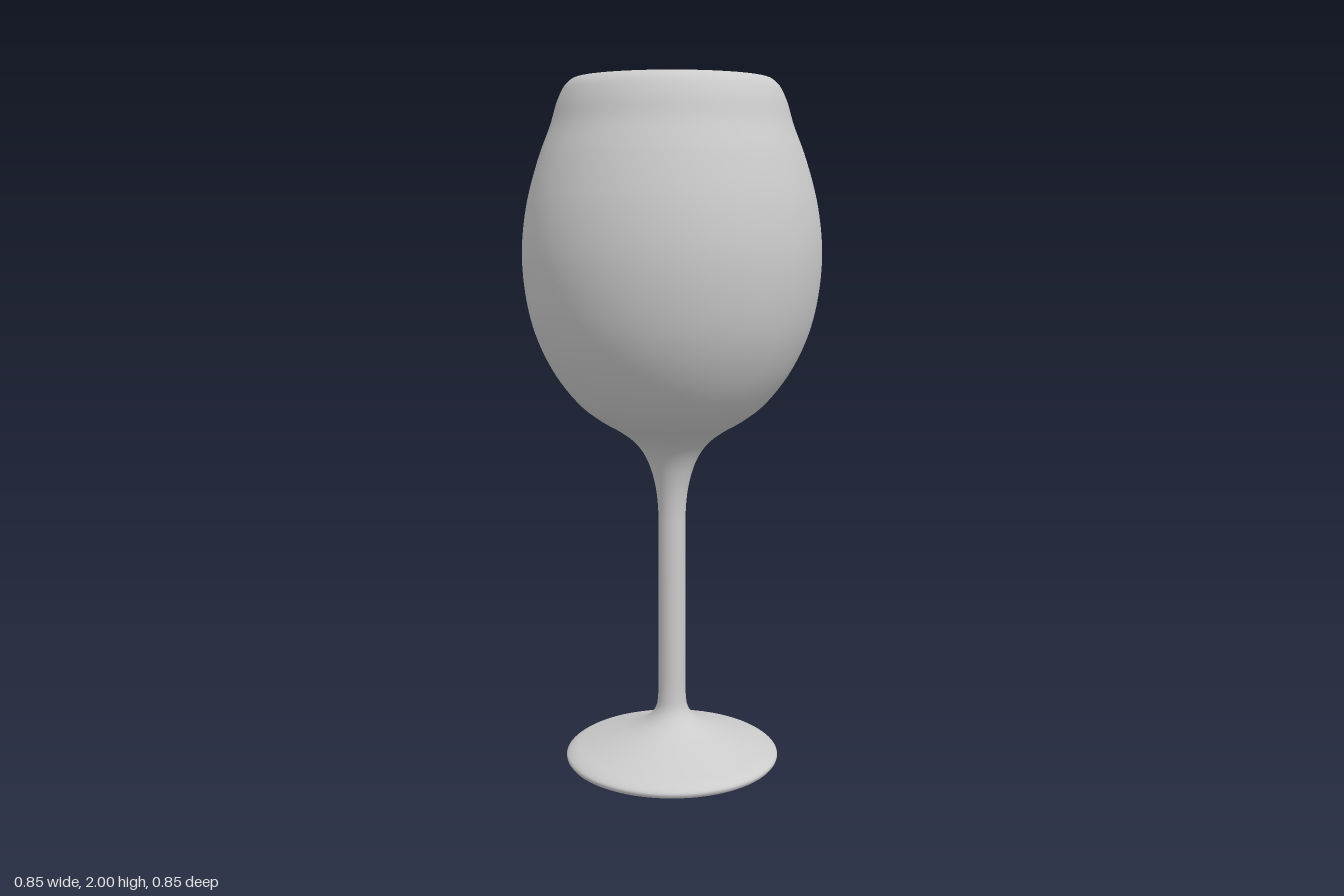
import * as THREE from 'three';

const material = new THREE.MeshStandardMaterial({ color: 0xcccccc });

// Smooth [radius, height] profile through a few points
function smooth(points, divisions) {
  const curve = new THREE.CatmullRomCurve3(
    points.map(([r, y]) => new THREE.Vector3(r, y, 0)), false, 'centripetal');
  return curve.getPoints(divisions).map(p => new THREE.Vector2(Math.max(p.x, 0), p.y));
}

// Turn a profile around the vertical axis
function turned(name, profile) {
  const mesh = new THREE.Mesh(new THREE.LatheGeometry(profile, 96), material);
  mesh.name = name;
  return mesh;
}

export function createModel() {
  const glass = new THREE.Group();
  glass.name = 'wineGlass';
  const v = (r, y) => new THREE.Vector2(r, y);

  // Flat underside, kept apart so its edge stays crisp
  glass.add(turned('footUnderside', [v(0, 0), v(0.19, 0), v(0.295, 0.006)]));

  // Rounded foot edge sweeping up into the stem
  glass.add(turned('foot', smooth([
    [0.295, 0.006], [0.312, 0.013], [0.317, 0.026], [0.3, 0.041], [0.25, 0.059],
    [0.18, 0.083], [0.11, 0.11], [0.07, 0.135], [0.048, 0.165], [0.041, 0.21], [0.04, 0.3],
  ], 60)));

  // Straight stem
  glass.add(turned('stem', [v(0.04, 0.3), v(0.04, 0.7)]));

  // Bowl: stem flare, outer wall, rounded rim and inner wall
  glass.add(turned('bowl', smooth([
    [0.04, 0.7], [0.041, 0.78], [0.05, 0.85], [0.072, 0.92], [0.105, 0.97], [0.15, 1.006],
    [0.21, 1.042], [0.27, 1.09], [0.345, 1.19], [0.4, 1.32], [0.425, 1.49], [0.413, 1.64],
    [0.376, 1.78], [0.34, 1.875], [0.32, 1.94], [0.297, 1.983], [0.27, 2], [0.253, 1.982],
    [0.25, 1.95], [0.262, 1.89], [0.307, 1.77], [0.343, 1.64], [0.356, 1.5],
    [0.335, 1.33], [0.26, 1.17],
  ], 150)));

  // Flat bottom inside the bowl
  glass.add(turned('bowlFloor', [v(0.26, 1.17), v(0, 1.17)]));

  return glass;
}
